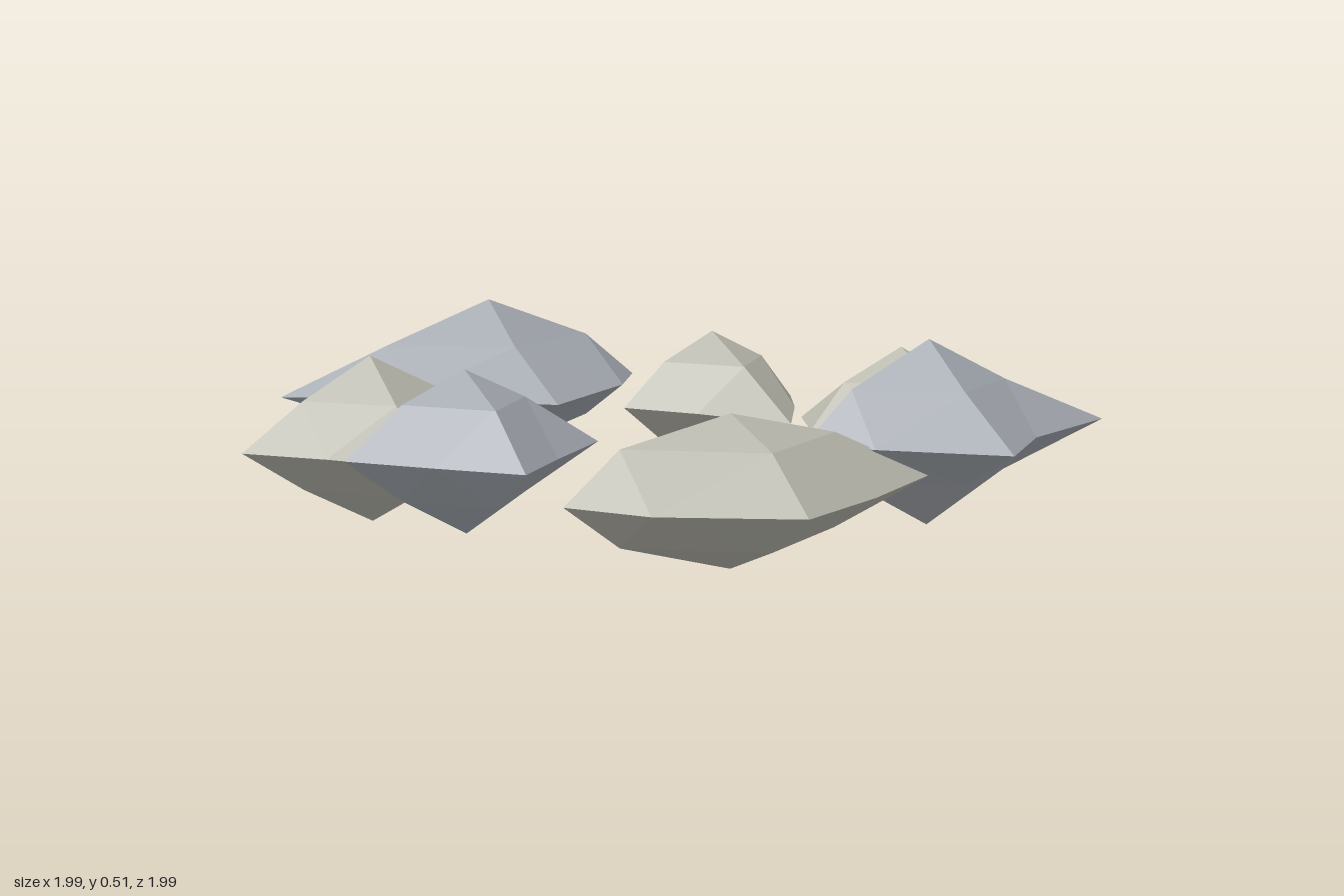
import * as THREE from 'three';

const warm = new THREE.MeshStandardMaterial({ color: 0xbab9ae, flatShading: true });
const cool = new THREE.MeshStandardMaterial({ color: 0xa6abb2, flatShading: true });

// at: centre. tips: reach along +x, -x, +y, -y, +z, -z.
// rim: waist corners [dx, dz] in the order (-,-), (+,-), (-,+), (+,+).
const rocks = [
  { name: 'backRock', mat: cool, at: [-0.205, 0.3, -0.71], tips: [0.415, 0.57, 0.22, 0.19, 0.435, 0.29],
    rim: [[-0.265, -0.18], [0.255, -0.15], [-0.3, 0.16], [0.3, 0.18]] },
  { name: 'backLeftRock', mat: warm, at: [0.38, 0.23, -0.575], tips: [0.24, 0.26, 0.19, 0.225, 0.435, 0.36],
    rim: [[-0.15, -0.14], [0.15, -0.15], [-0.135, 0.18], [0.15, 0.185]] },
  { name: 'leftRock', mat: warm, at: [0.635, 0.23, -0.03], tips: [0.355, 0.26, 0.195, 0.17, 0.325, 0.29],
    rim: [[-0.175, -0.2], [0.135, -0.145], [-0.155, 0.215], [0.14, 0.16]] },
  { name: 'frontLeftRock', mat: cool, at: [0.38, 0.3, 0.51], tips: [0.49, 0.325, 0.22, 0.215, 0.36, 0.33],
    rim: [[-0.18, -0.19], [0.23, -0.185], [-0.23, 0.15], [0.19, 0.165]] },
  { name: 'frontRock', mat: warm, at: [-0.205, 0.23, 0.64], tips: [0.515, 0.4, 0.175, 0.17, 0.35, 0.285],
    rim: [[-0.255, -0.185], [0.275, -0.19], [-0.28, 0.18], [0.25, 0.2]] },
  { name: 'frontRightRock', mat: cool, at: [-0.675, 0.3, 0.27], tips: [0.325, 0.285, 0.185, 0.185, 0.335, 0.43],
    rim: [[-0.155, -0.18], [0.145, -0.17], [-0.145, 0.17], [0.145, 0.18]] },
  { name: 'backRightRock', mat: warm, at: [-0.675, 0.23, -0.33], tips: [0.405, 0.325, 0.215, 0.19, 0.41, 0.315],
    rim: [[-0.17, -0.19], [0.175, -0.185], [-0.175, 0.17], [0.22, 0.175]] },
];

// Octahedron split once: 6 tips plus 12 edge corners, each moved to its own reach
function rockGeometry({ tips, rim }) {
  const geo = new THREE.OctahedronGeometry(1, 1);
  const pos = geo.attributes.position;
  const sign = (v) => (Math.abs(v) < 0.01 ? 0 : Math.sign(v));
  const corner = (sx, sz) => rim[(sx > 0 ? 1 : 0) + (sz > 0 ? 2 : 0)];
  for (let i = 0; i < pos.count; i++) {
    const s = [sign(pos.getX(i)), sign(pos.getY(i)), sign(pos.getZ(i))];
    const [sx, sy, sz] = s;
    const p = [0, 0, 0];
    if (Math.abs(sx) + Math.abs(sy) + Math.abs(sz) === 1) {
      // tip on an axis
      const a = s.findIndex((v) => v !== 0);
      p[a] = s[a] * tips[a * 2 + (s[a] < 0 ? 1 : 0)];
    } else if (sy === 0) {
      // corner of the waist
      [p[0], p[2]] = corner(sx, sz);
    } else {
      // corner on the upper or lower slope
      p[1] = sy > 0 ? 0.115 : -0.1;
      if (sx) p[0] = (corner(sx, -1)[0] + corner(sx, 1)[0]) / 2;
      else p[2] = (corner(-1, sz)[1] + corner(1, sz)[1]) / 2;
    }
    pos.setXYZ(i, ...p);
  }
  geo.computeVertexNormals();
  return geo;
}

export function createModel() {
  const ring = new THREE.Group();
  ring.name = 'stoneRing';
  for (const rock of rocks) {
    const mesh = new THREE.Mesh(rockGeometry(rock), rock.mat);
    mesh.name = rock.name;
    mesh.position.set(...rock.at);
    ring.add(mesh);
  }
  return ring;
}
